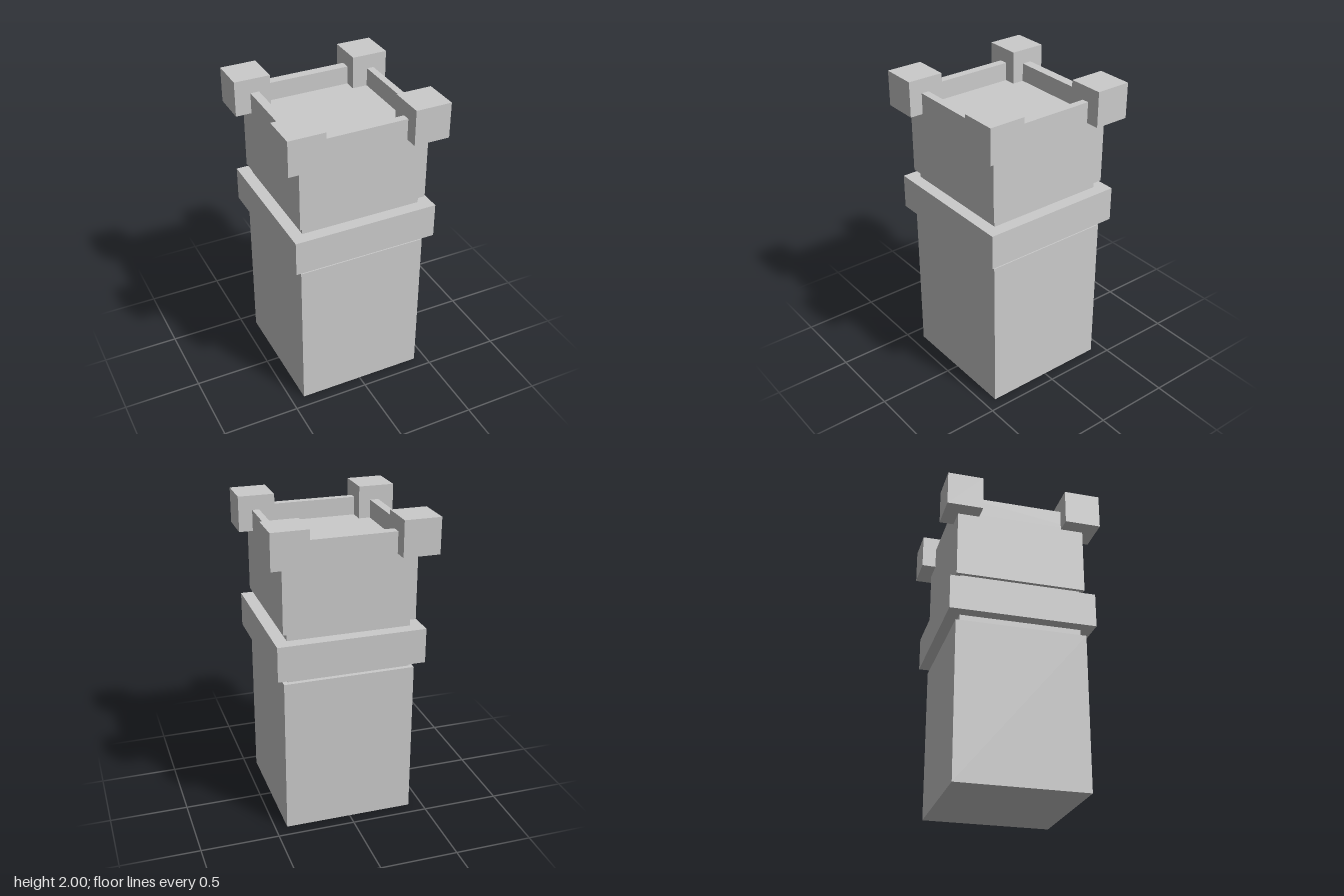
import * as THREE from 'three';

const material = new THREE.MeshStandardMaterial({ color: 0xcccccc, flatShading: true });

// Box given by its [min, max] extent on each axis
function block(name, [x0, x1], [y0, y1], [z0, z1]) {
  const mesh = new THREE.Mesh(new THREE.BoxGeometry(x1 - x0, y1 - y0, z1 - z0), material);
  mesh.name = name;
  mesh.position.set((x0 + x1) / 2, (y0 + y1) / 2, (z0 + z1) / 2);
  return mesh;
}

// Rectangular path, walked counter-clockwise
function rectangle(path, [x0, x1], [y0, y1]) {
  path.moveTo(x0, y0);
  path.lineTo(x1, y0);
  path.lineTo(x1, y1);
  path.lineTo(x0, y1);
  path.closePath();
  return path;
}

export function createModel() {
  const tower = new THREE.Group();
  tower.name = 'tower';
  const bodyX = [-0.413, 0.424], bodyZ = [-0.417, 0.42];
  const floorY = 1.79, wallTop = 1.908;

  // Shaft, recessed neck, projecting collar and upper chamber
  tower.add(
    block('shaft', bodyX, [0, 1.017], bodyZ),
    block('neck', [-0.388, 0.394], [1.017, 1.34], [-0.388, 0.392]),
    block('collar', [-0.465, 0.474], [1.065, 1.289], [-0.468, 0.47]),
    block('upperChamber', bodyX, [1.34, floorY], bodyZ)
  );

  // Parapet around the sunken roof (shape y becomes -z)
  const outline = rectangle(new THREE.Shape(), bodyX, [-bodyZ[1], -bodyZ[0]]);
  outline.holes.push(rectangle(new THREE.Path(), [-0.357, 0.379], [-0.37, 0.355]));
  const parapet = new THREE.Mesh(
    new THREE.ExtrudeGeometry(outline, { depth: wallTop - floorY, bevelEnabled: false }),
    material
  );
  parapet.name = 'parapet';
  parapet.rotation.x = -Math.PI / 2;
  parapet.position.y = floorY;
  tower.add(parapet);

  // Corner blocks
  for (const x of [[-0.514, -0.282], [0.28, 0.512]])
    for (const z of [[-0.509, -0.278], [0.272, 0.505]])
      tower.add(block('cornerBlock', x, [1.773, 2], z));

  return tower;
}
